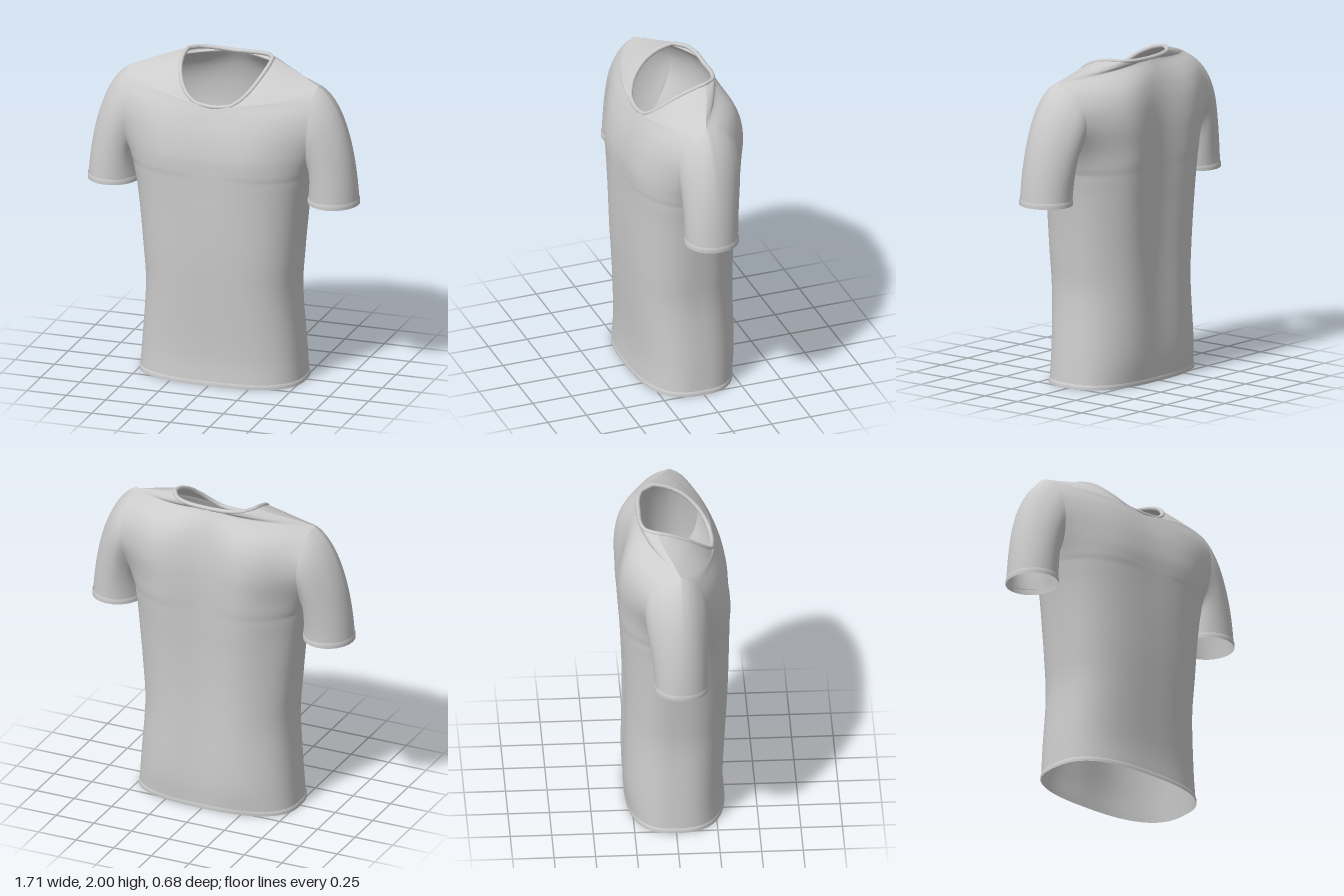
import * as THREE from 'three';
import { mergeGeometries, mergeVertices } from 'three/addons/utils/BufferGeometryUtils.js';

// Outer edge of each half panel: side seam (rows 0-6), armhole (6-13), shoulder seam (13-16)
// x, y, z of front panel, z of back panel
const EDGE = [
  [0.515, 0, 0, 0], [0.5, 0.2, 0, 0], [0.475, 0.55, 0, 0], [0.49, 0.8, 0, 0],
  [0.515, 1.05, 0, 0], [0.535, 1.2, 0.01, 0.01], [0.56, 1.32, 0.02, 0.02],
  [0.562, 1.37, 0.1, -0.06], [0.57, 1.46, 0.165, -0.13], [0.58, 1.6, 0.19, -0.19],
  [0.585, 1.72, 0.17, -0.185], [0.592, 1.81, 0.12, -0.13], [0.597, 1.86, 0.07, -0.06],
  [0.6, 1.885, 0.02, 0.02], [0.5, 1.92, -0.02, -0.02], [0.38, 1.957, -0.07, -0.07],
  [0.28, 1.988, -0.1, -0.1],
];
// Inner edge of each half panel: centre line, then neckline
// x, y, z, roundness, fullness, bulge beside the centre
const FRONT = [
  [0, 0, 0.31, 0.38, 2.8, 0], [0, 0.2, 0.302, 0.38, 2.8, 0], [0, 0.55, 0.32, 0.38, 2.8, 0],
  [0, 0.8, 0.333, 0.38, 2.8, 0], [0, 1.05, 0.34, 0.4, 2.8, 0], [0, 1.2, 0.341, 0.42, 2.8, 0.003],
  [0, 1.32, 0.342, 0.46, 2.8, 0.006], [0, 1.37, 0.342, 0.6, 2.8, 0.01],
  [0, 1.46, 0.338, 0.85, 2.8, 0.012], [0, 1.58, 0.315, 1, 2.7, 0.01],
  [0, 1.68, 0.282, 1, 2.6, 0.005], [0, 1.757, 0.25, 1, 2.3, 0],
  [0.12, 1.772, 0.237, 1, 1.9, 0], [0.21, 1.84, 0.185, 1, 1.6, 0],
  [0.265, 1.92, 0.09, 1, 1.4, 0], [0.285, 1.97, -0.02, 1, 1.2, 0], [0.28, 1.988, -0.1, 1, 1, 0],
];
const BACK = [
  [0, 0, -0.288, 0.38, 2.6, 0], [0, 0.2, -0.295, 0.38, 2.6, 0.012], [0, 0.55, -0.284, 0.38, 2.6, 0.02],
  [0, 0.8, -0.28, 0.38, 2.6, 0.025], [0, 1.05, -0.285, 0.4, 2.6, 0.032], [0, 1.2, -0.292, 0.42, 2.6, 0.038],
  [0, 1.32, -0.298, 0.46, 2.6, 0.042], [0, 1.4, -0.302, 0.6, 2.6, 0.045],
  [0, 1.5, -0.305, 0.85, 2.6, 0.046], [0, 1.62, -0.304, 1, 2.6, 0.046],
  [0, 1.74, -0.292, 1, 2.6, 0.042], [0, 1.83, -0.272, 1, 2.5, 0.032],
  [0, 1.9, -0.246, 1, 2.3, 0.015], [0, 1.971, -0.205, 1, 2, 0],
  [0.12, 1.975, -0.204, 1, 1.7, 0], [0.225, 1.982, -0.175, 1, 1.3, 0], [0.28, 1.988, -0.1, 1, 1, 0],
];
const ARMPIT = 6, SHOULDER = 13, END = 16;

// Smooth interpolation down one table column, with corners allowed at the break rows
function sample(table, v, col, breaks) {
  const i = Math.min(Math.floor(v + 1e-9), END - 1), t = v - i;
  const b = table[i][col], c = table[i + 1][col];
  const a = i === 0 || breaks.includes(i) ? 2 * b - c : table[i - 1][col];
  const d = i + 1 === END || breaks.includes(i + 1) ? 2 * c - b : table[i + 2][col];
  return b + 0.5 * t * (c - a + t * (2 * a - 5 * b + 4 * c - d + t * (3 * (b - c) + d - a)));
}
const edgePoint = (v, back) =>
  [0, 1, back ? 3 : 2].map((c) => sample(EDGE, v, c, [ARMPIT, SHOULDER]));
const innerPoint = (v, back) =>
  [0, 1, 2].map((c) => sample(back ? BACK : FRONT, v, c, [back ? 13 : 11]));

// Point on a half panel, u from centre to edge, v from hem to collar
function panelPoint(u, v, back) {
  const table = back ? BACK : FRONT;
  const [cx, cy, cz] = innerPoint(v, back), [ex, ey, ez] = edgePoint(v, back);
  const [m, n, h] = [3, 4, 5].map((c) => sample(table, v, c, []));
  const s = u >= 1 ? 1 : Math.sin((u * Math.PI) / 2);
  const f = Math.pow(Math.max(0, 1 - Math.pow(s, n)), m);
  const bulge = h * Math.sin(Math.PI * s) ** 2 * (back ? -1 : 1);
  return [cx + (ex - cx) * s, cy + (ey - cy) * s, ez + (cz - ez) * f + bulge];
}

// Point on a sleeve, a from 0 to 1 around the armhole, t from armhole to cuff
function sleevePoint(a, t) {
  const back = a > 0.5, k = back ? 2 - 2 * a : 2 * a;
  const p0 = edgePoint(ARMPIT + (SHOULDER - ARMPIT) * k, back);
  const p1 = cuffPoint(a, 1.16, 0);
  const w = (1 - Math.cos(a * 2 * Math.PI)) / 2;
  const t0 = [0.03 + 0.47 * w, -0.1 - 0.2 * w, 0], t1 = [0.05 * w, -0.16 - 0.74 * w, 0];
  const t2 = t * t, t3 = t2 * t;
  return p0.map((p, i) => (2 * t3 - 3 * t2 + 1) * p + (t3 - 2 * t2 + t) * t0[i]
    + (3 * t2 - 2 * t3) * p1[i] + (t3 - t2) * t1[i]);
}
function cuffPoint(a, y, grow) {
  const th = a * 2 * Math.PI;
  return [0.7 - (0.153 + grow) * Math.cos(th), y, 0.022 + (0.162 + grow) * Math.sin(th)];
}

// Grid surface from a point rule; side -1 mirrors it in x
function grid(nu, nv, point, side, flip) {
  const pos = [], idx = [];
  for (let j = 0; j <= nv; j++) for (let i = 0; i <= nu; i++) {
    const [x, y, z] = point(i / nu, j / nv);
    pos.push(x * side, y, z);
  }
  for (let j = 0; j < nv; j++) for (let i = 0; i < nu; i++) {
    const a = j * (nu + 1) + i, b = a + 1, d = a + nu + 1, c = d + 1;
    if (flip !== (side < 0)) idx.push(a, c, b, a, d, c);
    else idx.push(a, b, c, a, c, d);
  }
  const g = new THREE.BufferGeometry();
  g.setAttribute('position', new THREE.Float32BufferAttribute(pos, 3));
  g.setIndex(idx);
  return g;
}
function weld(list) {
  const g = mergeVertices(mergeGeometries(list), 1e-4);
  g.computeVertexNormals();
  return g;
}

export function createModel() {
  const group = new THREE.Group();
  const fabric = new THREE.MeshStandardMaterial({ color: 0xcccccc, side: THREE.DoubleSide });
  fabric.name = 'light grey fabric';
  const add = (name, geometry) => {
    const mesh = new THREE.Mesh(geometry, fabric);
    mesh.name = name;
    group.add(mesh);
  };
  const sides = [1, -1];

  // Torso and sleeves are welded so that normals run smoothly over the seams
  const panels = (back) => sides.map((s) =>
    grid(32, 80, (u, v) => panelPoint(u, v * END, back), s, back));
  const parts = [
    ['frontPanel', panels(false)],
    ['backPanel', panels(true)],
    ['leftSleeve', [grid(70, 28, sleevePoint, 1, true)]],
    ['rightSleeve', [grid(70, 28, sleevePoint, -1, true)]],
  ];
  const shell = weld(parts.flatMap((p) => p[1]));
  let start = 0;
  for (const [name, list] of parts) {
    const count = list.reduce((n, g) => n + g.index.count, 0);
    const g = new THREE.BufferGeometry();
    for (const key of ['position', 'normal']) g.setAttribute(key, shell.attributes[key]);
    g.setIndex(Array.from(shell.index.array.slice(start, start + count)));
    start += count;
    add(name, g);
  }

  // Bottom hem band
  add('bottomHem', weld([false, true].flatMap((back) => sides.map((s) =>
    grid(32, 3, (u, v) => {
      const [x, y, z] = panelPoint(u, v * 0.15, back);
      const k = v === 1 ? 1 : 1.01;
      return [x * k, y, z * k];
    }, s, back)))));

  // Sleeve cuffs
  sides.forEach((s) => add(s > 0 ? 'leftCuff' : 'rightCuff', weld([
    grid(64, 3, (a, v) => cuffPoint(a, 1.195 - 0.035 * v, v === 0 ? 0 : 0.004), s, true)])));

  // Ribbed collar around the neckline
  const half = [];
  for (let v = 11; v <= END; v += 0.5) half.push(innerPoint(v, false));
  for (let v = END - 0.5; v >= 13; v -= 0.5) half.push(innerPoint(v, true));
  const mirrored = half.slice(1, -1).reverse().map(([x, y, z]) => [-x, y, z]);
  const loop = [...half, ...mirrored].map(([x, y, z]) =>
    new THREE.Vector3(x * 0.96, y, 0.02 + (z - 0.02) * 0.97));
  add('collar', new THREE.TubeGeometry(new THREE.CatmullRomCurve3(loop, true), 128, 0.0135, 10, true));

  return group;
}
